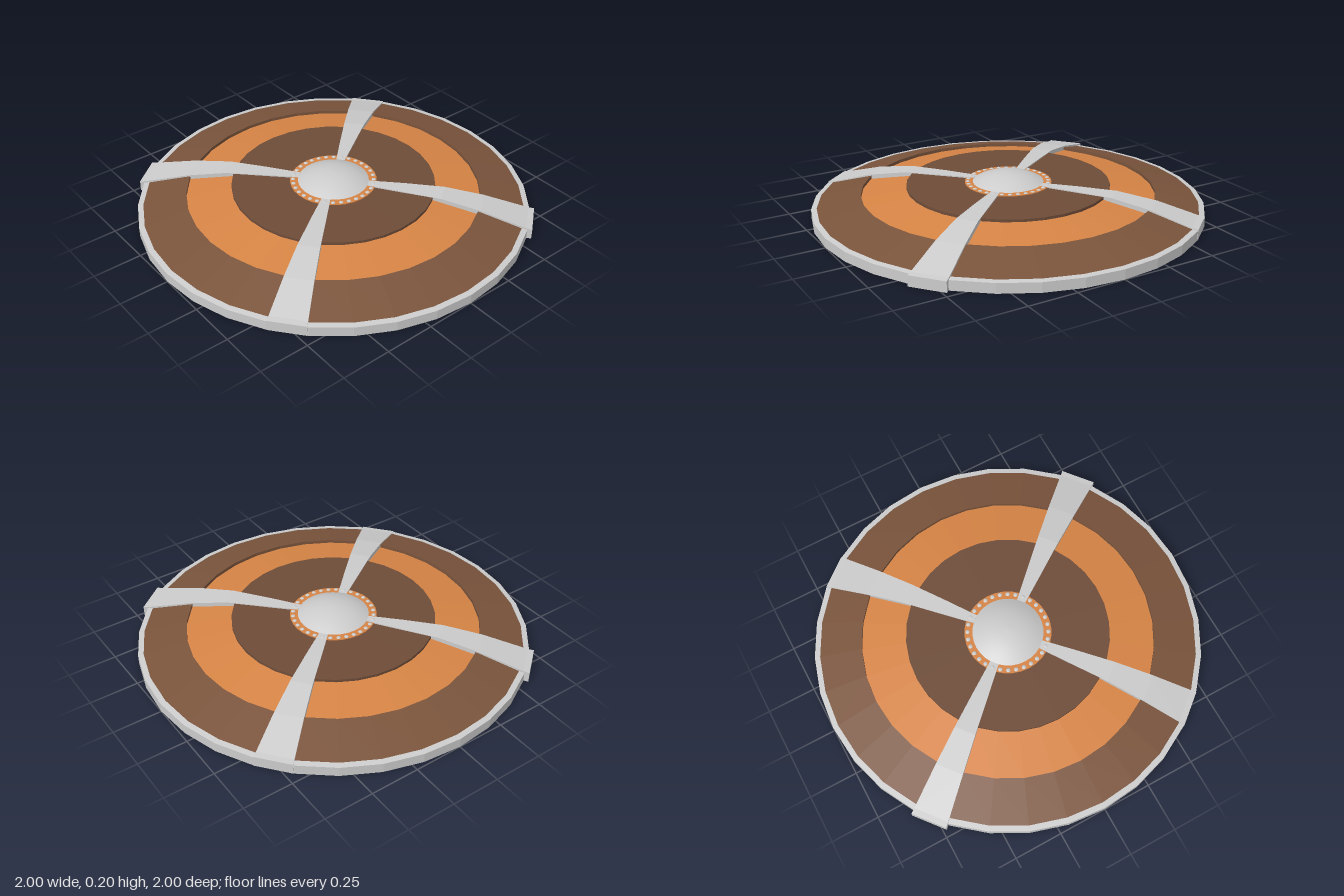
import * as THREE from 'three';

const SIDES = 32;
const metal = new THREE.MeshStandardMaterial({ color: 0xcccccc, flatShading: true });
const smoothMetal = new THREE.MeshStandardMaterial({ color: 0xcccccc });
const wood = new THREE.MeshStandardMaterial({ color: 0x7a543c, flatShading: true });
const darkWood = new THREE.MeshStandardMaterial({ color: 0x6e4c38, flatShading: true });
const orange = new THREE.MeshStandardMaterial({ color: 0xd68445, flatShading: true });

// Turned part; the profile runs [radius, height] with the outside on its right-hand side.
function turned(name, profile, material) {
  const points = profile.map(([r, y]) => new THREE.Vector2(r, y));
  const mesh = new THREE.Mesh(new THREE.LatheGeometry(points, SIDES), material);
  mesh.name = name;
  return mesh;
}

// Tapered bar that follows the slope of the face, reaching from the boss over the rim.
function strap(endRadius) {
  // [radius, underside height, top height, width]
  const sections = [
    [0.18, 0.115, 0.153, 0.045],
    [0.36, 0.103, 0.152, 0.077],
    [0.56, 0.093, 0.147, 0.11],
    [0.76, 0.058, 0.115, 0.144],
    [endRadius - 0.03, 0, 0.058, 0.18],
    [endRadius, 0, 0.054, 0.185],
  ];
  const n = sections.length - 1;
  const geometry = new THREE.BoxGeometry(1, 1, 1, 1, 1, n);
  const p = geometry.attributes.position;
  for (let i = 0; i < p.count; i++) {
    const [r, low, high, width] = sections[Math.round((p.getZ(i) + 0.5) * n)];
    p.setXYZ(i, p.getX(i) * width, p.getY(i) > 0 ? high : low, r);
  }
  geometry.computeVertexNormals();
  return new THREE.Mesh(geometry, metal);
}

export function createModel() {
  const shield = new THREE.Group();
  shield.name = 'roundShield';

  // Metal rim
  shield.add(turned('rim', [[0.972, 0], [1, 0], [1, 0.05], [0.972, 0.054], [0.972, 0]], metal));

  // Wooden face: raised outer ring, inset coloured band, raised centre
  shield.add(turned('outerRing', [[0.975, 0.052], [0.75, 0.111], [0.75, 0.09]], wood));
  shield.add(turned('colouredBand', [[0.75, 0.094], [0.52, 0.132]], orange));
  shield.add(turned('centreDisc', [[0.52, 0.128], [0.52, 0.146], [0, 0.148]], darkWood));

  // Hollow back
  shield.add(turned('back', [[0, 0.105], [0.52, 0.102], [0.75, 0.068], [0.975, 0.01]], darkWood));

  // Collar and domed boss
  shield.add(turned('bossCollar', [[0.222, 0.146], [0.222, 0.151], [0.17, 0.152]], orange));
  const dome = [];
  const R = 0.356;
  for (let i = 0; i <= 5; i++) {
    const a = Math.asin(0.19 / R) * (1 - i / 5);
    dome.push([R * Math.sin(a), 0.202 - R + R * Math.cos(a)]);
  }
  shield.add(turned('boss', dome, smoothMetal));

  // Rivets around the collar
  const rivets = new THREE.Group();
  rivets.name = 'rivets';
  const rivetGeometry = new THREE.SphereGeometry(0.012, 8, 3, 0, Math.PI * 2, 0, Math.PI / 2);
  for (let i = 0; i < SIDES; i++) {
    const a = ((i + 0.5) / SIDES) * Math.PI * 2;
    const rivet = new THREE.Mesh(rivetGeometry, smoothMetal);
    rivet.name = 'rivet';
    rivet.position.set(0.206 * Math.sin(a), 0.151, 0.206 * Math.cos(a));
    rivet.scale.y = 0.4;
    rivets.add(rivet);
  }
  shield.add(rivets);

  // Four straps; one opposite pair overhangs the rim a little
  for (let i = 0; i < 4; i++) {
    const bar = strap(i % 2 ? 1.02 : 0.997);
    bar.name = 'strap';
    bar.rotation.y = 0.685 + (i * Math.PI) / 2;
    shield.add(bar);
  }

  return shield;
}
